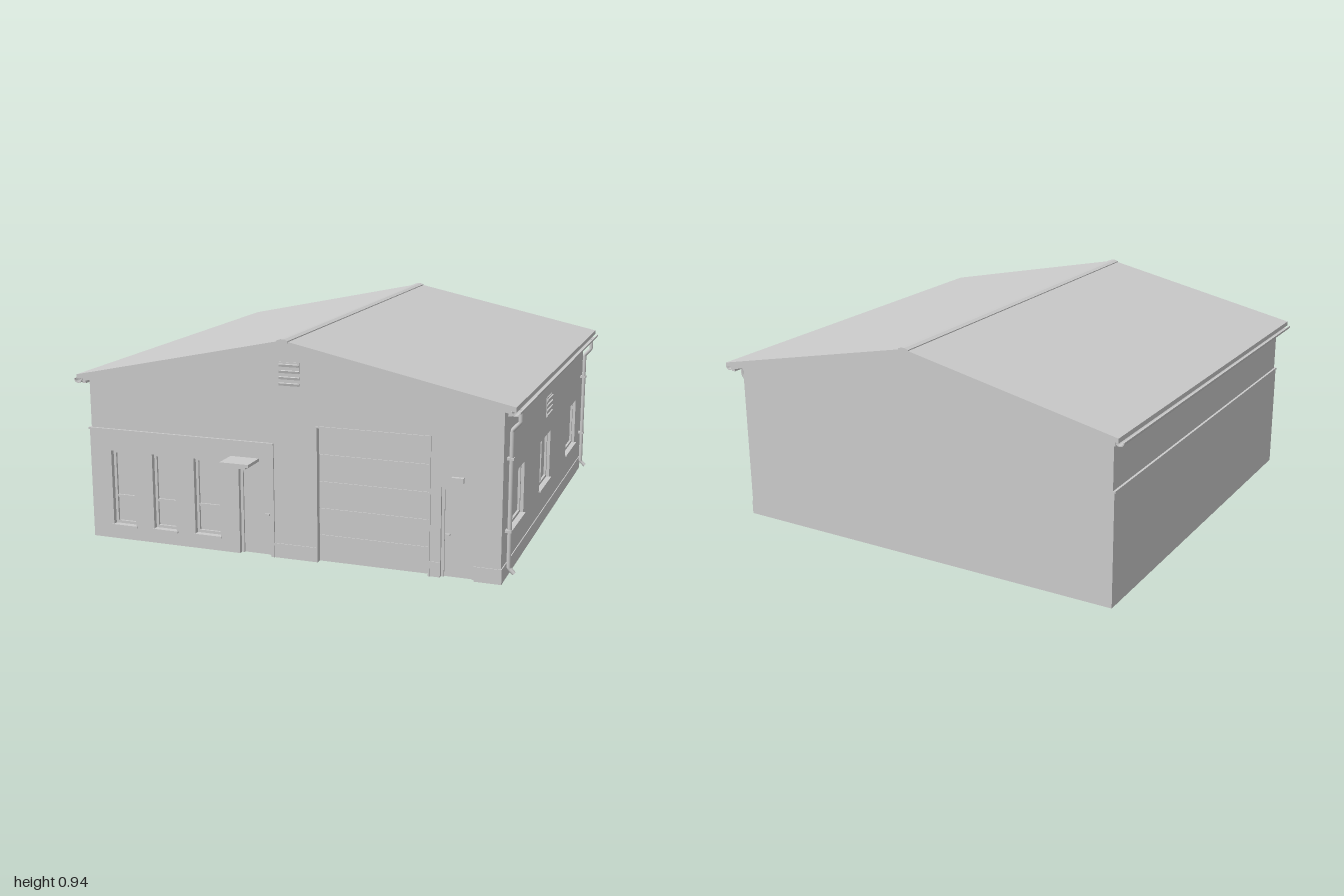
import * as THREE from 'three';

const mat = new THREE.MeshStandardMaterial({ color: 0xcccccc });

function add(parent, name, geo, x = 0, y = 0, z = 0) {
  const m = new THREE.Mesh(geo, mat);
  m.name = name;
  m.position.set(x, y, z);
  parent.add(m);
  return m;
}

// Box given by its limits on each axis
function box(parent, name, x0, x1, y0, y1, z0, z1) {
  return add(parent, name, new THREE.BoxGeometry(x1 - x0, y1 - y0, z1 - z0),
    (x0 + x1) / 2, (y0 + y1) / 2, (z0 + z1) / 2);
}

const poly = (pts) => pts.map(([x, y]) => new THREE.Vector2(x, y));
const rect = ([x0, x1, y0, y1]) => [[x0, y0], [x1, y0], [x1, y1], [x0, y1]];

// Flat plate in the xy plane with rectangular holes, from z0 to z1
function plate(parent, name, outline, holes, z0, z1) {
  const s = new THREE.Shape(poly(outline));
  for (const h of holes) s.holes.push(new THREE.Path(poly(rect(h).reverse())));
  const geo = new THREE.ExtrudeGeometry(s, { depth: z1 - z0, bevelEnabled: false });
  return add(parent, name, geo, 0, 0, z0);
}

// Window in a wall opening: frame, pane, bars and sill
function windowUnit(parent, [x0, x1, y0, y1], back, face, { bars = [], rails = [] }) {
  const g = new THREE.Group();
  g.name = 'window';
  parent.add(g);
  const t = 0.012;
  plate(g, 'windowFrame', rect([x0, x1, y0, y1]), [[x0 + t, x1 - t, y0 + t, y1 - t]], back, back + 0.016);
  box(g, 'windowPane', x0 + t, x1 - t, y0 + t, y1 - t, back, back + 0.006);
  for (const x of bars) box(g, 'windowBar', x - 0.006, x + 0.006, y0 + t, y1 - t, back, back + 0.014);
  for (const y of rails) box(g, 'windowRail', x0 + t, x1 - t, y - 0.006, y + 0.006, back, back + 0.014);
  box(g, 'windowSill', x0 - 0.006, x1 + 0.006, y0 - 0.008, y0, back, face + 0.01);
}

// Door leaf with a raised frame and a handle
function doorUnit(parent, [x0, x1, y0, y1], back, handleX) {
  const g = new THREE.Group();
  g.name = 'door';
  parent.add(g);
  const t = 0.012;
  box(g, 'doorLeaf', x0 + t, x1 - t, y0, y1 - t, back, back + 0.01);
  plate(g, 'doorFrame', [[x0, y0], [x0 + t, y0], [x0 + t, y1 - t], [x1 - t, y1 - t],
    [x1 - t, y0], [x1, y0], [x1, y1], [x0, y1]], [], back, back + 0.018);
  box(g, 'doorHandle', handleX - 0.01, handleX + 0.01, 0.175, 0.182, back + 0.01, back + 0.02);
}

// Louvred wall vent
function vent(parent, x0, x1, y0, y1, face) {
  const g = new THREE.Group();
  g.name = 'wallVent';
  parent.add(g);
  const n = 4, step = (y1 - y0) / n;
  box(g, 'ventBack', x0, x1, y0, y1, face - 0.005, face + 0.003);
  for (let i = 0; i < n; i++) {
    const slat = box(g, 'ventSlat', x0, x1, y0 + step * (i + 0.3), y0 + step * (i + 0.7), face, face + 0.008);
    slat.rotation.x = 0.3;
  }
}

// Height of the roof underside
const under = (x) => 0.905 - 0.211 * Math.abs(x);

export function createModel() {
  const model = new THREE.Group();
  model.name = 'building';

  // Solid core; the back and left walls are its own faces
  const core = [[-0.925, 0], [0.885, 0], [0.885, under(0.885)], [0, under(0)], [-0.925, under(0.925)]];
  plate(model, 'wallCore', core, [], -0.95, 0.855);

  // Front wall with openings
  const back = 0.855, face = 0.885;
  const frontWindows = [[-0.83, -0.72, 0.065, 0.4], [-0.63, -0.52, 0.065, 0.4], [-0.43, -0.31, 0.065, 0.4]];
  const doors = [[-0.22, -0.075, 0, 0.375], [0.665, 0.805, 0, 0.38]];
  const gate = [0.135, 0.615, 0, 0.58];
  const notch = ([x0, x1, , y1]) => [[x0, 0], [x0, y1], [x1, y1], [x1, 0]];
  plate(model, 'frontWall', [[-0.925, 0], ...notch(doors[0]), ...notch(gate), ...notch(doors[1]),
    [0.915, 0], [0.915, under(0.915)], [0, under(0)], [-0.925, under(0.925)]], frontWindows, back, face);

  // Lower cladding wraps the front left corner
  plate(model, 'frontLowerCladding', [[-0.931, 0], ...notch(doors[0]), [-0.06, 0], [-0.06, 0.495], [-0.931, 0.495]],
    frontWindows, face, face + 0.007);
  box(model, 'sideLowerCladding', -0.931, -0.925, 0, 0.495, -0.95, face);
  box(model, 'claddingTrim', -0.934, -0.06, 0.49, 0.498, face, face + 0.011);
  box(model, 'sideCladdingTrim', -0.935, -0.925, 0.49, 0.498, -0.95, face + 0.011);

  // Front plinth pieces between the openings
  for (const [a, b] of [[-0.06, 0.135], [0.615, 0.665], [0.805, 0.919]])
    box(model, 'frontPlinth', a, b, 0, 0.063, face, face + 0.004);

  for (const w of frontWindows) windowUnit(model, w, back, face + 0.003, { rails: [0.19] });
  doorUnit(model, doors[0], back, -0.1);
  doorUnit(model, doors[1], back, 0.69);

  // Large sectional door and its surround
  for (let i = 0; i < 5; i++)
    box(model, 'gatePanel', gate[0], gate[1], i * 0.116, i * 0.116 + 0.1145, back, back + 0.008);
  plate(model, 'gateSurround', [[0.129, 0], [0.135, 0], [0.135, 0.58], [0.615, 0.58], [0.615, 0],
    [0.621, 0], [0.621, 0.587], [0.129, 0.587]], [], face, face + 0.006);

  // Entrance canopy, lamp and gable vent
  box(model, 'canopySlab', -0.255, -0.125, 0.415, 0.428, face, 1.0);
  box(model, 'canopySupport', -0.235, -0.145, 0.403, 0.415, face, 0.985);
  box(model, 'doorLamp', 0.71, 0.76, 0.407, 0.428, face, face + 0.018);
  vent(model, -0.03, 0.06, 0.74, 0.845, face);

  // Right wall, built facing +z and turned to +x (local x runs toward the back)
  const side = new THREE.Group();
  side.name = 'rightWallGroup';
  side.rotation.y = Math.PI / 2;
  model.add(side);
  const sideWindows = [[-0.73, -0.48, 0.18, 0.405], [-0.14, 0.095, 0.18, 0.405], [0.515, 0.775, 0.18, 0.405]];
  plate(side, 'rightWall', rect([-0.855, 0.95, 0, under(0.915)]), sideWindows, 0.885, 0.915);
  box(side, 'rightPlinth', -0.889, 0.95, 0, 0.063, 0.915, 0.919);
  sideWindows.forEach((w, i) =>
    windowUnit(side, w, 0.885, 0.915, { bars: i === 1 ? [(w[0] + w[1]) / 2] : [] }));
  vent(side, -0.03, 0.09, 0.49, 0.585, 0.915);

  // Roof: sheet over a slightly smaller deck, both following the gable
  const band = (w, lift, t) => {
    const y = (x) => under(x) + lift;
    return [[-w, y(w)], [0, y(0)], [w, y(w)], [w, y(w) + t], [0, y(0) + t], [-w, y(w) + t]];
  };
  plate(model, 'roofDeck', band(0.95, 0, 0.017), [], -0.99, 0.91);
  plate(model, 'roofSheet', band(0.967, 0.015, 0.02), [], -1.0, 0.92);
  plate(model, 'ridgeCap', [[-0.025, 0.93], [0.025, 0.93], [0.025, 0.939], [0.008, 0.945], [-0.008, 0.945], [-0.025, 0.939]],
    [], -1.0, 0.922);

  // Eaves: fascia and half-round gutter on each side
  for (const s of [-1, 1]) {
    box(model, 'fascia', s * 0.94 - 0.008, s * 0.94 + 0.008, 0.696, 0.725, -0.985, 0.905);
    const gutter = new THREE.Shape();
    gutter.absarc(0, 0, 0.02, Math.PI, Math.PI * 2, false);
    gutter.lineTo(0.015, 0);
    gutter.absarc(0, 0, 0.015, Math.PI * 2, Math.PI, true);
    add(model, 'gutter', new THREE.ExtrudeGeometry(gutter, { depth: 1.9, bevelEnabled: false, curveSegments: 8 }),
      s * 0.964, 0.717, -0.985);
  }

  // Downpipes on the right wall
  for (const z of [0.82, -0.9]) {
    const path = new THREE.CurvePath();
    const pts = [[0.964, 0.705], [0.964, 0.655], [0.932, 0.62], [0.932, 0.05], [0.955, 0.028]]
      .map(([x, y]) => new THREE.Vector3(x, y, z));
    for (let i = 1; i < pts.length; i++) path.add(new THREE.LineCurve3(pts[i - 1], pts[i]));
    add(model, 'downpipe', new THREE.TubeGeometry(path, 60, 0.009, 10, false)).material =
      new THREE.MeshStandardMaterial({ color: 0xcccccc, side: THREE.DoubleSide });
    for (const y of [0.2, 0.5]) box(model, 'pipeClip', 0.913, 0.943, y, y + 0.01, z - 0.012, z + 0.012);
  }

  return model;
}
